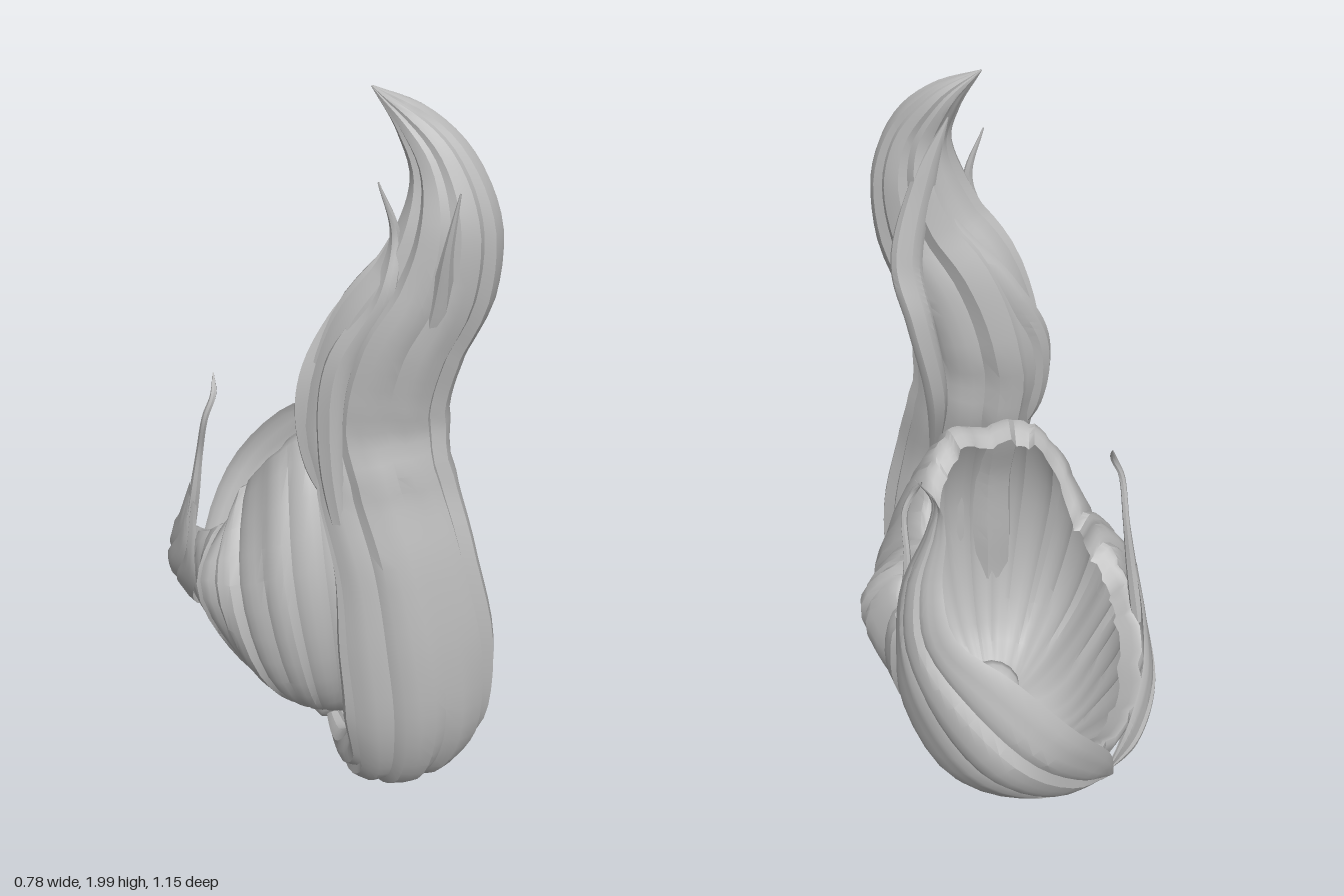
import * as THREE from 'three';
import { toCreasedNormals } from 'three/addons/utils/BufferGeometryUtils.js';

const hair = new THREE.MeshStandardMaterial({ color: 0xb8b8b8, side: THREE.DoubleSide });
hair.name = 'hair grey';

const V = (p) => new THREE.Vector3(p[0], p[1], p[2]);
const curve = (pts) => new THREE.CatmullRomCurve3(pts.map((p) => (p.isVector3 ? p : V(p))));

// small seeded noise in -1..1
function noise(i) {
  const s = Math.sin(i * 127.1 + 11.7) * 43758.5453;
  return 2 * (s - Math.floor(s)) - 1;
}

// mesh from a grid of points, rows[j][i]
function sheet(name, rows, crease = 0.6) {
  const n = rows[0].length, pos = [], index = [];
  rows.forEach((r) => r.forEach((p) => pos.push(p.x, p.y, p.z)));
  for (let j = 0; j < rows.length - 1; j++) {
    for (let i = 0; i < n - 1; i++) {
      const a = j * n + i, b = a + 1, c = a + n, d = c + 1;
      index.push(a, b, d, a, d, c);
    }
  }
  const g = new THREE.BufferGeometry();
  g.setAttribute('position', new THREE.Float32BufferAttribute(pos, 3));
  g.setIndex(index);
  const mesh = new THREE.Mesh(toCreasedNormals(g, crease), hair);
  mesh.name = name;
  return mesh;
}

// tapering, grooved and twisting lock; stations are [x, y, z, half width, half depth]
function lock(name, stations, { lobes = 4, twist = 0, tilt = 0.3, steps = 40, groove = 0.16 } = {}) {
  const path = curve(stations);
  const size = curve(stations.map((s) => [s[3], s[4], 0]));
  const sides = lobes * 4, rows = [];
  for (let j = 0; j <= steps; j++) {
    const t = j / steps, c = path.getPoint(t), r = size.getPoint(t), T = path.getTangent(t);
    const W = new THREE.Vector3(Math.cos(tilt), 0, Math.sin(tilt));
    W.addScaledVector(T, -W.dot(T)).normalize();
    const D = new THREE.Vector3().crossVectors(W, T);
    const row = [];
    for (let i = 0; i <= sides; i++) {
      const k = i % sides, a = (k / sides) * Math.PI * 2 + twist * t;
      const f = 1.03 - (k % 4 === 0 ? groove : 0) + 0.06 * noise(Math.floor(k / 4));
      row.push(c.clone()
        .addScaledVector(W, Math.max(r.x, 0.001) * f * Math.cos(a))
        .addScaledVector(D, Math.max(r.y, 0.001) * f * Math.sin(a)));
    }
    rows.push(row);
  }
  return sheet(name, rows);
}

// curved fringe with a thin inner face; each section is [lower, middle, upper]
function fringe(name, sections, across = 15, steps = 30) {
  const rails = [0, 1, 2].map((k) => curve(sections.map((s) => s[k])));
  const rows = [];
  for (let j = 0; j <= steps; j++) {
    const t = j / steps, section = curve(rails.map((r) => r.getPoint(t)));
    const thin = Math.min(1, section.getLength() * 3), outer = [], inner = [];
    for (let i = 0; i <= across; i++) {
      const p = section.getPoint(i / across);
      const s = 1 + (i % 5 === 0 ? -0.02 : 0.008) * thin;
      const q = s - 0.07 * thin * Math.sin((i / across) * Math.PI);
      outer.push(new THREE.Vector3(p.x * s, p.y, p.z * s));
      inner.unshift(new THREE.Vector3(p.x * q, p.y, p.z * q));
    }
    rows.push([...outer, ...inner]);
  }
  return sheet(name, rows);
}

// bowl of hair: meridians fan out from the knot to a ragged rim that rolls inward
function cap() {
  const half = [
    [[0, .18, .2], [0, .4, .31], [0, .75, .32], [0, 1.05, .15]],
    [[.05, .18, .2], [.1, .4, .31], [.13, .75, .31], [.1, 1.06, .15]],
    [[.1, .18, .17], [.2, .38, .27], [.25, .72, .24], [.18, .99, .09]],
    [[.13, .18, .13], [.27, .36, .18], [.325, .65, .13], [.23, .85, -.02]],
    [[.15, .18, .05], [.305, .38, .06], [.385, .63, .035], [.28, .76, -.02]],
    [[.15, .16, -.05], [.28, .32, -.05], [.34, .5, -.08], [.315, .68, -.1]],
    [[.14, .15, -.12], [.26, .29, -.16], [.32, .45, -.2], [.315, .63, -.22]],
    [[.1, .14, -.15], [.19, .23, -.26], [.255, .34, -.325], [.275, .45, -.35]],
    [[.05, .14, -.15], [.1, .19, -.29], [.14, .26, -.385], [.15, .36, -.42]],
    [[0, .14, -.15], [0, .19, -.3], [0, .25, -.4], [0, .35, -.43]],
  ];
  // inner edge of the rolled rim
  half.forEach((m) => {
    const [x, y, z] = m[3];
    m.push([x * 0.84, y - 0.03, z - (z + 0.15) * 0.23]);
  });
  const mirrored = half.slice(1, -1).reverse().map((m) => m.map(([x, y, z]) => [-x, y, z]));
  const keys = [...half, ...mirrored];
  const rings = [0, 1, 2, 3, 4].map((k) => new THREE.CatmullRomCurve3(keys.map((m) => V(m[k])), true));
  const cols = 120, steps = 20, lines = [];
  for (let i = 0; i <= cols; i++) {
    const k = i % cols, m = curve([[0, .14, .03], ...rings.map((r) => r.getPoint(k / cols))]);
    const ridge = (k % 4 === 0 ? -0.022 : 0.008) + 0.012 * noise(Math.floor(k / 4));
    const line = [];
    for (let j = 0; j <= steps; j++) {
      const v = j / steps, p = m.getPoint(v), s = 1 + ridge * Math.sin(Math.min(1, v * 1.6) * Math.PI / 2);
      p.x *= s;
      p.z *= s;
      p.y += 0.022 * noise(Math.floor(k / 4) + 50) * v ** 4;
      line.push(p);
    }
    lines.push(line);
  }
  return sheet('hairCap', lines);
}

export function createModel() {
  const model = new THREE.Group();
  model.name = 'hairstyle';
  model.add(cap());

  // band where the tail leaves the cap
  const knot = new THREE.Mesh(new THREE.TorusGeometry(0.055, 0.035, 8, 18), hair);
  knot.name = 'knotBand';
  knot.position.set(0, 0.145, 0.11);
  knot.rotation.x = 0.6;
  model.add(knot);

  // main tail
  model.add(lock('tail', [
    [0, .14, .06, .03, .03], [0, .11, .16, .07, .05], [0, .1, .27, .10, .085],
    [.02, .17, .375, .14, .1], [.025, .33, .44, .185, .105], [.02, .55, .445, .195, .105],
    [0, .8, .415, .175, .095], [-.02, 1, .35, .17, .1], [-.03, 1.2, .315, .17, .1],
    [.01, 1.4, .34, .165, .11], [.08, 1.55, .385, .145, .105], [.11, 1.7, .4, .115, .095],
    [.1, 1.82, .38, .078, .065], [.05, 1.92, .33, .045, .04], [-.03, 2, .28, .002, .002],
  ], { lobes: 8, twist: 1.1, steps: 64, groove: 0.12, tilt: 0.42 }));

  // loose locks along the tail
  const loose = [
    [[-.13, .75, .4, .01, .01], [-.16, 1.1, .34, .03, .03], [-.14, 1.35, .34, .035, .03],
      [-.045, 1.55, .385, .03, .03], [-.02, 1.68, .38, .012, .012], [-.06, 1.81, .37, .002, .002]],
    [[.1, .85, .34, .01, .01], [.11, 1.12, .25, .03, .03], [.15, 1.35, .245, .035, .03],
      [.17, 1.5, .29, .04, .03], [.11, 1.72, .315, .03, .025], [.05, 1.88, .3, .002, .002]],
    [[-.06, .85, .33, .02, .02], [-.14, 1.05, .27, .05, .03], [-.14, 1.25, .25, .06, .035],
      [-.06, 1.42, .25, .05, .03], [.05, 1.6, .3, .02, .02], [.08, 1.72, .32, .002, .002]],
    [[.08, .2, .46, .01, .01], [.13, .5, .5, .05, .03], [.08, .85, .46, .05, .03],
      [.02, 1.2, .38, .04, .03], [.05, 1.5, .46, .03, .025], [.045, 1.68, .505, .012, .01],
      [.055, 1.82, .53, .002, .002]],
  ];
  loose.forEach((s, i) => model.add(lock('looseLock' + (i + 1), s, { lobes: 3, twist: 1 })));

  // broad fringe sweeping across the back to the left
  model.add(fringe('broadFringe', [
    [[-.15, .23, -.40], [-.17, .25, -.42], [-.19, .27, -.43]],
    [[.07, .23, -.41], [-.03, .31, -.5], [-.16, .4, -.49]],
    [[.26, .33, -.37], [.14, .46, -.55], [-.03, .58, -.56]],
    [[.35, .5, -.24], [.26, .6, -.465], [.12, .74, -.51]],
    [[.345, .68, -.19], [.33, .74, -.32], [.24, .82, -.41]],
    [[.32, .85, -.18], [.315, .9, -.27], [.25, .93, -.33]],
    [[.26, 1.02, -.21], [.26, 1.05, -.26], [.23, 1.06, -.3]],
    [[.25, 1.13, -.24], [.245, 1.14, -.26], [.24, 1.14, -.285]],
    [[.29, 1.21, -.25], [.29, 1.21, -.25], [.29, 1.21, -.251]],
  ]));

  // smaller fringe sweeping to the right
  model.add(fringe('smallFringe', [
    [[-.14, .24, -.4], [-.16, .26, -.42], [-.17, .28, -.43]],
    [[-.22, .25, -.35], [-.26, .33, -.4], [-.23, .43, -.425]],
    [[-.3, .35, -.25], [-.335, .45, -.32], [-.29, .56, -.36]],
    [[-.34, .52, -.13], [-.345, .6, -.2], [-.32, .67, -.25]],
    [[-.32, .74, -.14], [-.325, .76, -.17], [-.31, .78, -.2]],
  ]));

  // thin wisps on both sides
  for (const s of [1, -1]) {
    model.add(lock(s > 0 ? 'leftWisp' : 'rightWisp', [
      [s * .325, .6, -.2, .02, .03], [s * .31, .76, -.17, .016, .022], [s * .295, .9, -.155, .01, .013],
      [s * .29, 1.02, -.12, .009, .01], [s * .265, 1.08, -.12, .009, .009], [s * .25, 1.125, -.15, .002, .002],
    ], { lobes: 2, steps: 24 }));
  }
  return model;
}
